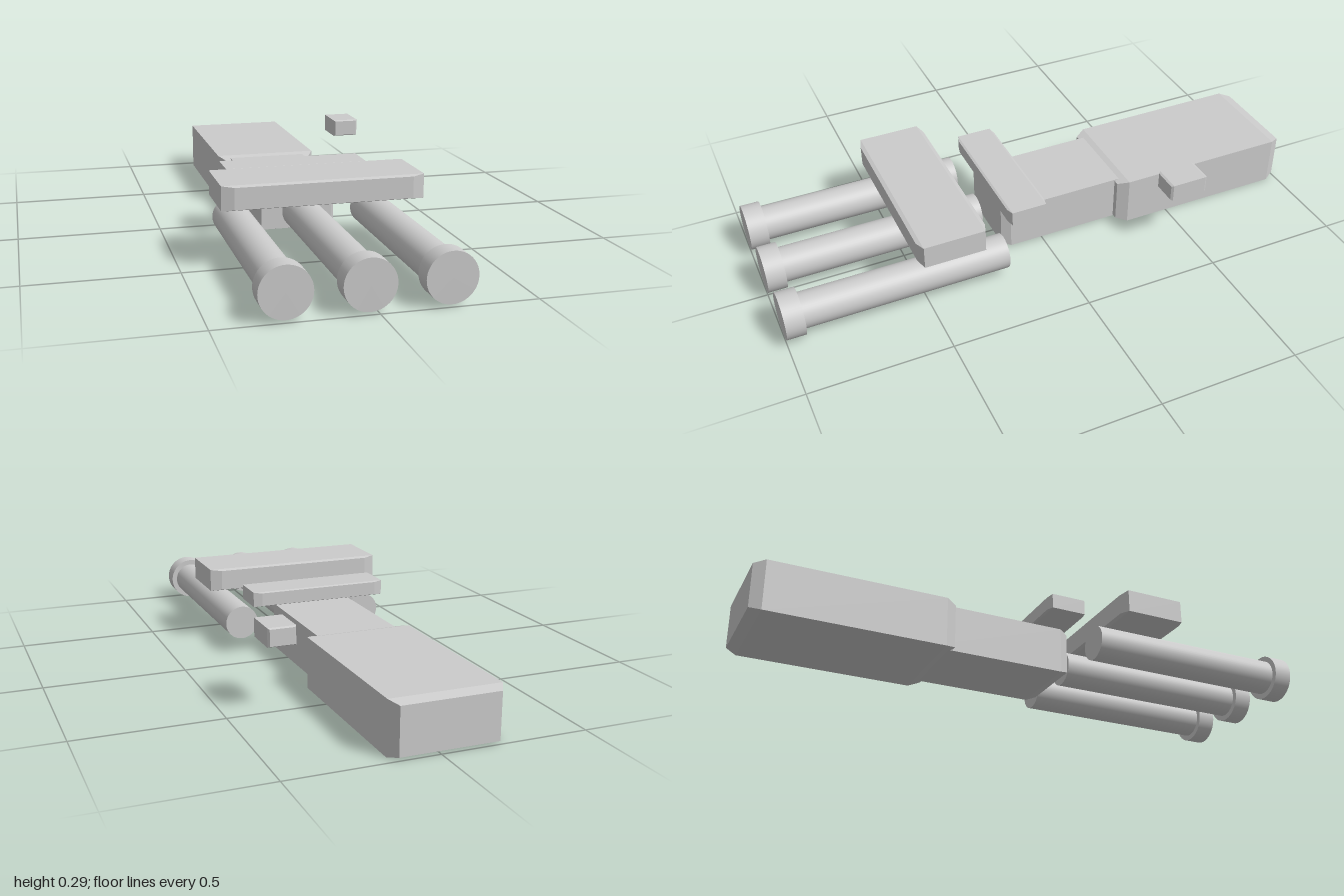
import * as THREE from 'three';

const material = new THREE.MeshStandardMaterial({ color: 0xcccccc });
const flatMaterial = new THREE.MeshStandardMaterial({ color: 0xcccccc, flatShading: true });

// Block given by its extents, with both z ends tapering to 88% over the last 5.5% of the length
function taperedBlock(name, [x0, x1], [y0, y1], [z0, z1]) {
  const w = x1 - x0, h = y1 - y0, d = z1 - z0;
  let geometry = new THREE.BoxGeometry(w, h, d, 1, 1, 3);
  const p = geometry.attributes.position;
  for (let i = 0; i < p.count; i++) {
    const z = p.getZ(i);
    if (Math.abs(z) > d * 0.4) p.setXY(i, p.getX(i) * 0.88, p.getY(i) * 0.88);
    else p.setZ(i, Math.sign(z) * d * 0.445);
  }
  geometry = geometry.toNonIndexed();
  geometry.computeVertexNormals();
  const mesh = new THREE.Mesh(geometry, flatMaterial);
  mesh.name = name;
  mesh.position.set((x0 + x1) / 2, (y0 + y1) / 2, (z0 + z1) / 2);
  return mesh;
}

// Cylinder lying along z
function rod(name, radius, z0, z1) {
  const geometry = new THREE.CylinderGeometry(radius, radius, z1 - z0, 48).rotateX(Math.PI / 2);
  const mesh = new THREE.Mesh(geometry, material);
  mesh.name = name;
  mesh.position.z = (z0 + z1) / 2;
  return mesh;
}

export function createModel() {
  const model = new THREE.Group();
  model.name = 'model';

  // Main body and the narrower neck in front of it
  model.add(taperedBlock('body', [-0.22, 0.16], [0.002, 0.183], [-1, -0.295]));
  model.add(taperedBlock('neck', [-0.176, 0.116], [0.009, 0.177], [-0.43, 0.157]));

  // Cross bars and side button floating above
  model.add(taperedBlock('rearCrossBar', [-0.285, 0.225], [0.197, 0.251], [0.03, 0.173]));
  model.add(taperedBlock('frontCrossBar', [-0.37, 0.31], [0.201, 0.284], [0.287, 0.533]));
  model.add(taperedBlock('sideButton', [0.27, 0.367], [0.227, 0.291], [-0.527, -0.383]));

  // Three barrels with wider end caps
  for (const [name, x] of [['rightBarrel', -0.28], ['middleBarrel', -0.03], ['leftBarrel', 0.22]]) {
    const barrel = new THREE.Group();
    barrel.name = name;
    barrel.position.set(x, 0.093, 0);
    barrel.add(rod('barrelTube', 0.0625, 0.2, 0.95), rod('barrelCap', 0.082, 0.933, 1));
    model.add(barrel);
  }
  return model;
}
